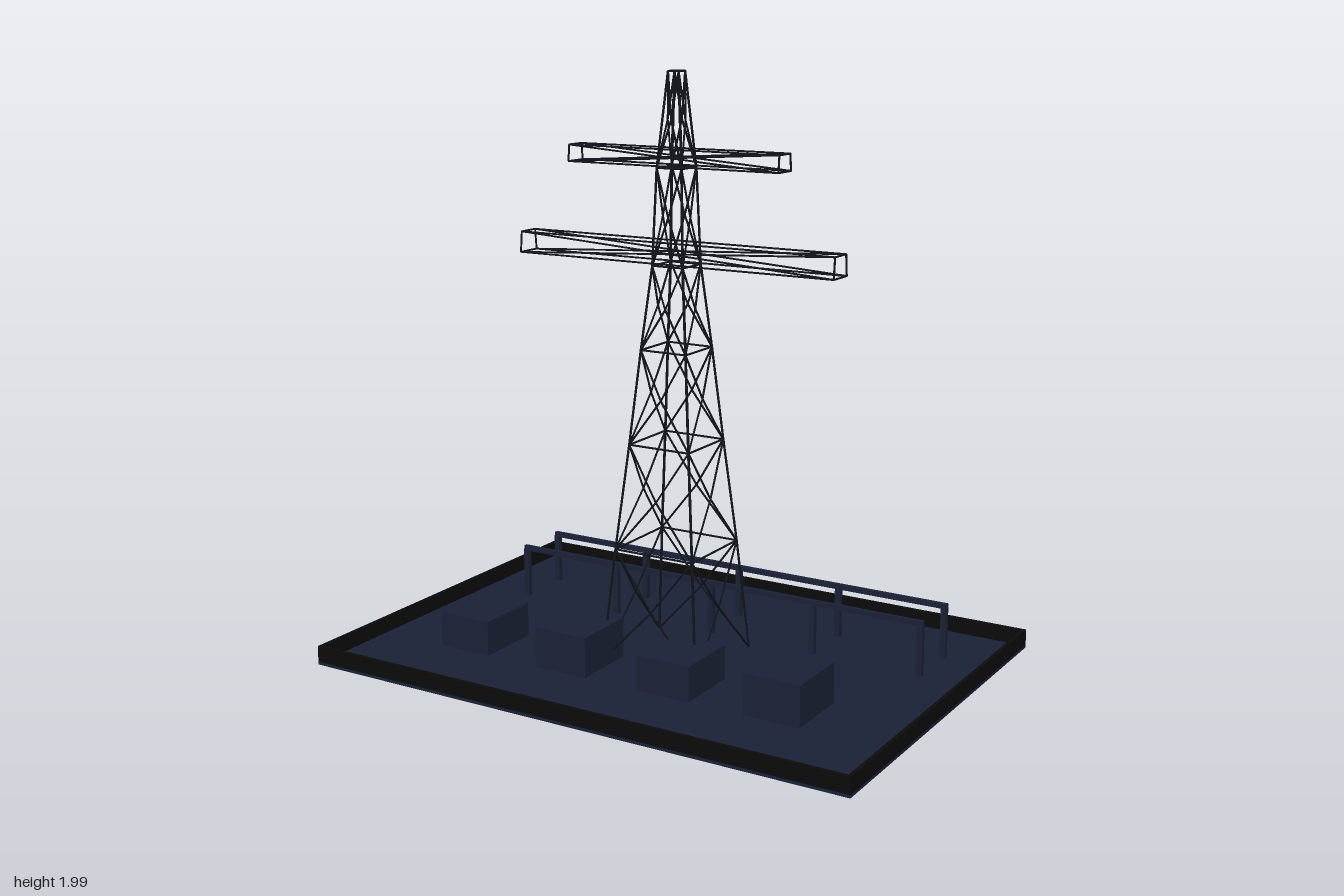
import * as THREE from 'three';

const navy = new THREE.MeshStandardMaterial({ color: 0x1a2135 });
const black = new THREE.MeshStandardMaterial({ color: 0x0b0b0c });
const steel = new THREE.MeshStandardMaterial({ color: 0x10141a });

const FLOOR = 0.01;

// Box given by its min and max corners
function box(name, min, max, material) {
  const size = max.map((v, i) => v - min[i]);
  const mesh = new THREE.Mesh(new THREE.BoxGeometry(...size), material);
  mesh.position.set(...max.map((v, i) => (v + min[i]) / 2));
  mesh.name = name;
  return mesh;
}

// Thin round bar between two points
function bar(name, a, b, radius) {
  const p = new THREE.Vector3(...a), q = new THREE.Vector3(...b);
  const dir = q.clone().sub(p);
  const mesh = new THREE.Mesh(new THREE.CylinderGeometry(radius, radius, dir.length(), 6), steel);
  mesh.position.copy(p).add(q).multiplyScalar(0.5);
  mesh.quaternion.setFromUnitVectors(new THREE.Vector3(0, 1, 0), dir.normalize());
  mesh.name = name;
  return mesh;
}

// Shallow tray: floor slab with a raised rim
function createBase() {
  const g = new THREE.Group();
  g.name = 'base';
  const rim = 0.012, top = 0.066;
  g.add(box('floor', [-1, 0, -0.7], [1, FLOOR, 0.7], navy));
  for (const s of [-1, 1]) {
    const z = [s * 0.7, s * (0.7 - rim)].sort((a, b) => a - b);
    const x = [s, s * (1 - rim)].sort((a, b) => a - b);
    g.add(box('rimLong', [-1, FLOOR, z[0]], [1, top, z[1]], black));
    g.add(box('rimShort', [x[0], FLOOR, -0.7 + rim], [x[1], top, 0.7 - rim], black));
  }
  return g;
}

// Tapering lattice mast, one bay per pair of [height, half width] levels
function createTower() {
  const g = new THREE.Group();
  g.name = 'tower';
  const levels = [[FLOOR, 0.183], [0.4, 0.15], [0.76, 0.115], [1.08, 0.086],
    [1.36, 0.058], [1.68, 0.047], [1.99, 0.02]];
  for (let i = 0; i < levels.length - 1; i++) {
    const [y0, w0] = levels[i], [y1, w1] = levels[i + 1];
    for (let f = 0; f < 4; f++) {
      const face = new THREE.Group();
      face.name = 'towerFace';
      face.rotation.y = f * Math.PI / 2;
      const node = [0, (y0 + y1) / 2, (w0 + w1) / 2];
      face.add(bar('leg', [w0, y0, w0], [w1, y1, w1], 0.0045));
      face.add(bar('girt', [-w1, y1, w1], [w1, y1, w1], 0.0035));
      // Four braces meeting at the middle of the bay
      for (const s of [-1, 1]) {
        face.add(bar('brace', [s * w0, y0, w0], node, 0.0035));
        face.add(bar('brace', [s * w1, y1, w1], node, 0.0035));
      }
      g.add(face);
    }
  }
  return g;
}

// Box-shaped crossarm, slightly narrower on top, crossed on front and back
function createCrossarm(name, half, y0, y1, z0, z1) {
  const g = new THREE.Group();
  g.name = name;
  const r = 0.0033;
  for (const s of [-1, 1]) {
    g.add(bar('bottomChord', [-half, y0, s * z0], [half, y0, s * z0], r));
    g.add(bar('topChord', [-half, y1, s * z1], [half, y1, s * z1], r));
    g.add(bar('endBottom', [s * half, y0, -z0], [s * half, y0, z0], r));
    g.add(bar('endTop', [s * half, y1, -z1], [s * half, y1, z1], r));
    for (const e of [-1, 1]) {
      g.add(bar('endPost', [e * half, y0, s * z0], [e * half, y1, s * z1], r));
      g.add(bar('diagonal', [-e * half, y0, s * z0], [e * half, y1, s * z1], r));
    }
  }
  return g;
}

// Row of posts carrying a long rail
function createGantry(z) {
  const g = new THREE.Group();
  g.name = 'gantry';
  for (let x = -2; x <= 2; x++) {
    g.add(box('post', [x * 0.4 - 0.01, FLOOR, z - 0.01], [x * 0.4 + 0.01, 0.19, z + 0.01], navy));
  }
  g.add(box('rail', [-0.81, 0.185, z - 0.008], [0.81, 0.203, z + 0.008], navy));
  return g;
}

export function createModel() {
  const model = new THREE.Group();
  model.name = 'powerStation';
  model.add(createBase(), createTower());
  model.add(createCrossarm('lowerCrossarm', 0.597, 1.365, 1.435, 0.046, 0.039));
  model.add(createCrossarm('upperCrossarm', 0.397, 1.685, 1.74, 0.042, 0.037));
  for (const z of [-0.24, -0.44]) model.add(createGantry(z));

  // Transformer cabinets in a row at the front
  for (let i = 0; i < 4; i++) {
    const x = -0.64 + i * 0.4;
    const top = i % 2 ? 0.15 : 0.13;
    model.add(box('cabinet', [x - 0.1, FLOOR, 0.12], [x + 0.1, top, 0.355], navy));
  }
  return model;
}
